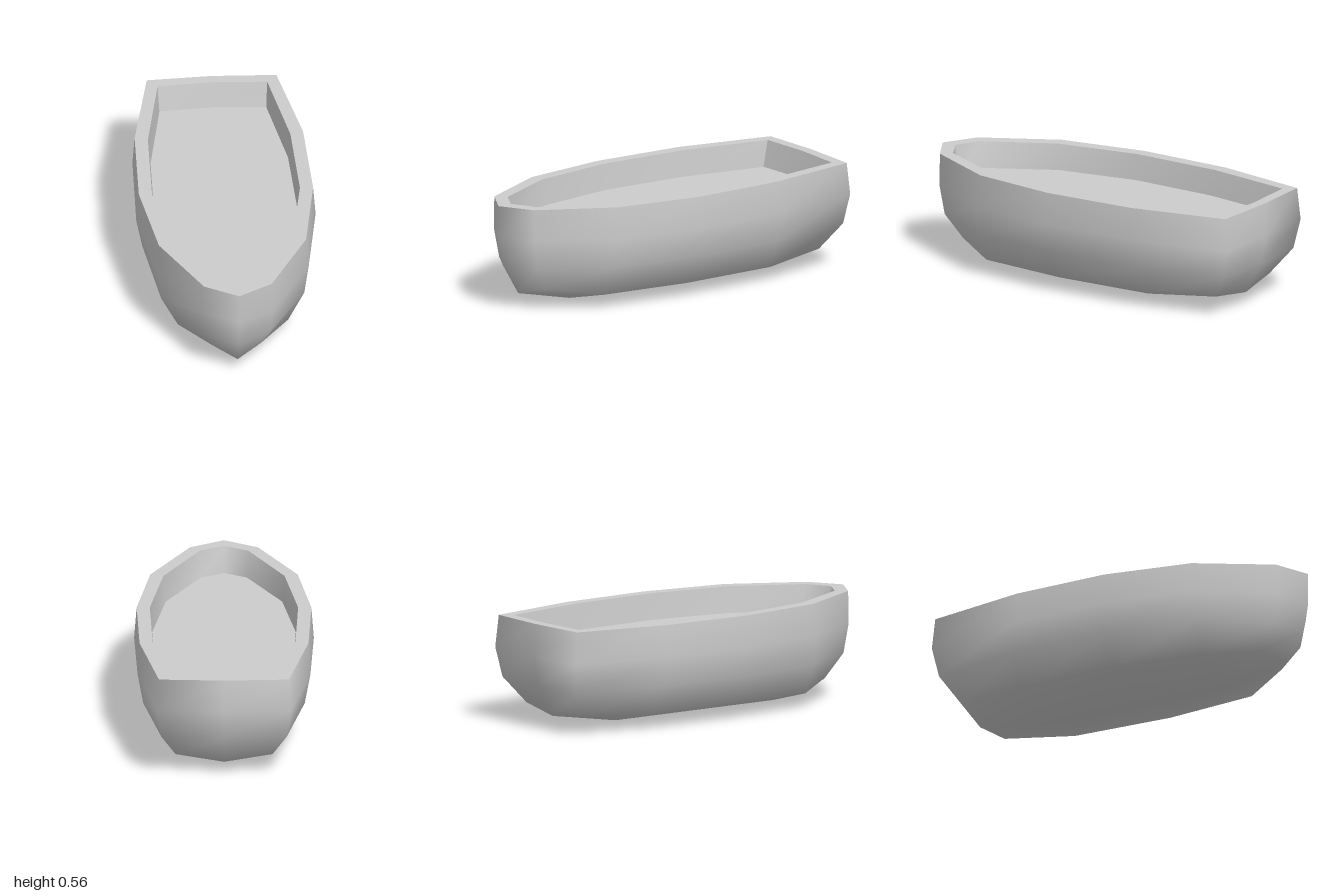
import * as THREE from 'three';
import { mergeVertices, toCreasedNormals } from 'three/addons/utils/BufferGeometryUtils.js';

// Mirror a half outline (bow, five side stations, stern) into a closed ring
const ring = (half) => [
  ...half,
  ...half.slice(1, 6).reverse().map(([x, y, z]) => [-x, y, z]),
];

// Join consecutive rings with quads, skipping collapsed triangles
function loft(rings) {
  const pos = [];
  const same = (a, b) => a.every((v, i) => Math.abs(v - b[i]) < 1e-6);
  const tri = (a, b, c) => {
    if (!same(a, b) && !same(b, c) && !same(a, c)) pos.push(...a, ...b, ...c);
  };
  for (let r = 0; r < rings.length - 1; r++) {
    const lo = rings[r], hi = rings[r + 1];
    for (let i = 0; i < lo.length; i++) {
      const j = (i + 1) % lo.length;
      tri(lo[i], lo[j], hi[j]);
      tri(lo[i], hi[j], hi[i]);
    }
  }
  const geo = new THREE.BufferGeometry();
  geo.setAttribute('position', new THREE.Float32BufferAttribute(pos, 3));
  return geo;
}

const level = (y, outline) => ring(outline.map(([x, z]) => [x, y, z]));

export function createModel() {
  const group = new THREE.Group();
  group.name = 'boat';
  const grey = new THREE.MeshStandardMaterial({ color: 0xcccccc });
  grey.name = 'light grey';

  const add = (name, geo) => {
    const mesh = new THREE.Mesh(geo, grey);
    mesh.name = name;
    group.add(mesh);
  };

  // Keel line and chine
  const bow = [0, 0.075, 0.875], stern = [0, 0.065, -0.875];
  const keel = ring([bow, bow, [0, 0, 0.55], [0, 0, 0.05], [0, 0, -0.47], stern, stern]);
  const chine = ring([
    bow, [0.125, 0.11, 0.79], [0.285, 0.075, 0.54], [0.34, 0.075, 0.05],
    [0.327, 0.075, -0.49], [0.25, 0.1, -0.855], stern,
  ]);

  // Side levels up to the rim
  const lower = level(0.235, [[0, 0.97], [0.168, 0.875], [0.37, 0.53],
    [0.433, 0.05], [0.416, -0.48], [0.323, -0.955], [0, -0.97]]);
  const belly = level(0.39, [[0, 1], [0.18, 0.9], [0.393, 0.52],
    [0.463, 0.05], [0.445, -0.475], [0.345, -0.985], [0, -1]]);
  const rim = level(0.557, [[0, 1], [0.175, 0.9], [0.38, 0.515],
    [0.45, 0.05], [0.435, -0.455], [0.335, -0.97], [0, -0.985]]);

  // Recessed deck outlines
  const inner = level(0.557, [[0, 0.92], [0.125, 0.852], [0.312, 0.495],
    [0.382, 0.05], [0.368, -0.435], [0.283, -0.913], [0, -0.928]]);
  const floor = level(0.42, [[0, 0.887], [0.118, 0.822], [0.3, 0.482],
    [0.37, 0.05], [0.355, -0.42], [0.276, -0.882], [0, -0.9]]);
  const centreLine = floor.map(([, y, z]) => [0, y, z]);

  // Smooth outer shell
  const hull = mergeVertices(loft([keel, chine, lower, belly, rim]));
  hull.computeVertexNormals();
  add('hull', hull);

  // Flat rim, inner wall and deck
  add('rim', toCreasedNormals(loft([rim, inner]), 1.1));
  add('innerWall', toCreasedNormals(loft([inner, floor]), 1.1));
  add('deck', toCreasedNormals(loft([floor, centreLine]), 1.1));
  return group;
}
